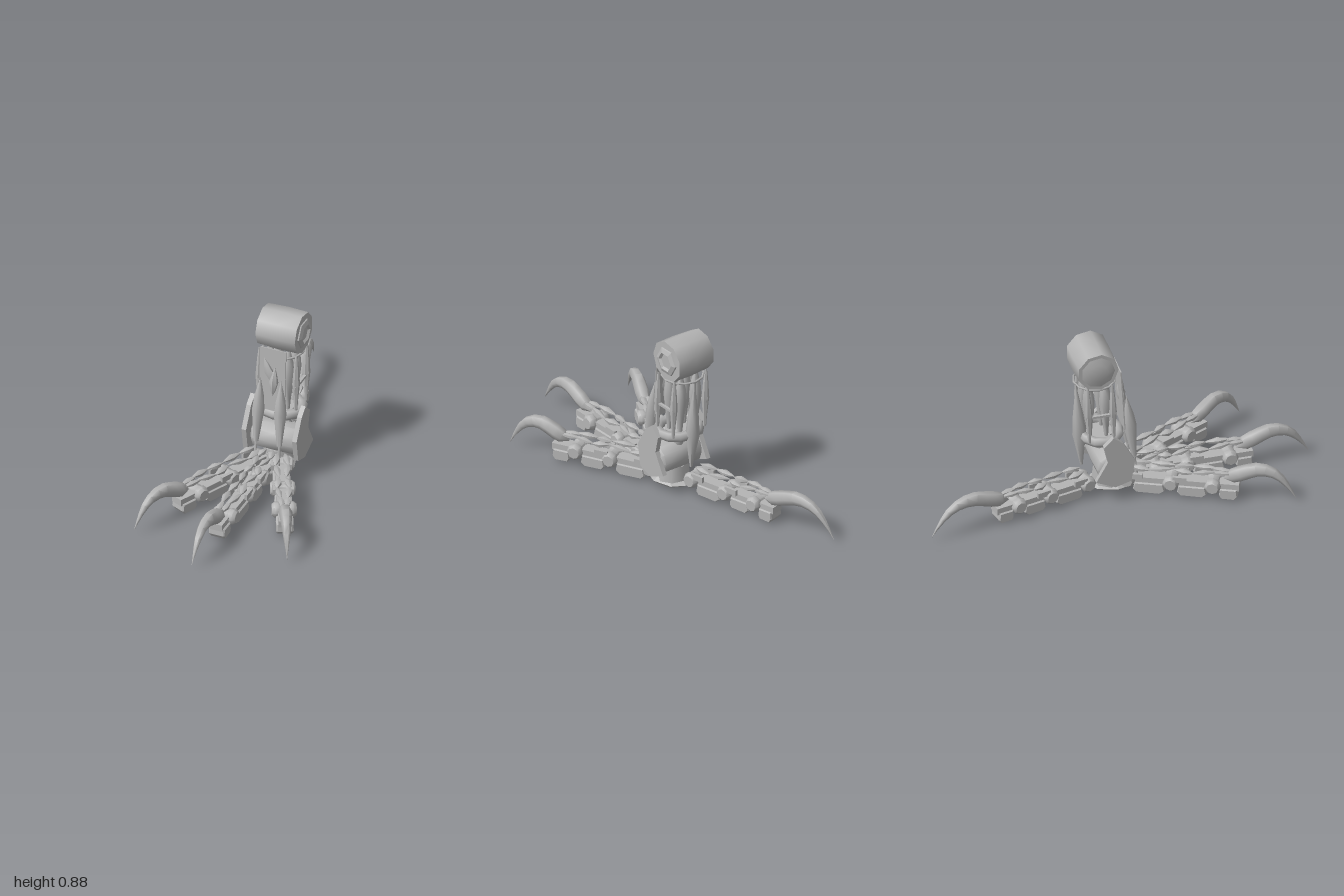
import * as THREE from 'three';
import { toCreasedNormals } from 'three/addons/utils/BufferGeometryUtils.js';

const metal = new THREE.MeshStandardMaterial({ color: 0xb4b4b4 });
metal.name = 'grey metal';
const sheet = new THREE.MeshStandardMaterial({ color: 0xb4b4b4, side: THREE.DoubleSide });
sheet.name = 'grey sheet';
const V = (x, y, z) => new THREE.Vector3(x, y, z);

function add(parent, name, geo, pos = [0, 0, 0], mat = metal) {
  const m = new THREE.Mesh(geo, mat);
  m.name = name;
  m.position.set(...pos);
  parent.add(m);
  return m;
}

// Turned part between two points; profile rows are [fraction of length, fraction of radius]
function turned(parent, name, a, b, r, profile, sides = 8, flat = 1, crease = 0.9) {
  const dir = b.clone().sub(a), len = dir.length();
  const geo = new THREE.LatheGeometry(profile.map(([t, k]) => new THREE.Vector2(k * r, t * len)), sides);
  geo.scale(1, 1, flat);
  geo.applyQuaternion(new THREE.Quaternion().setFromUnitVectors(V(0, 1, 0), dir.normalize()));
  return add(parent, name, toCreasedNormals(geo, crease), a.toArray());
}

const SPINDLE = [[0, 0], [0.2, 0.5], [0.5, 1], [0.8, 0.5], [1, 0]];
const PISTON = [[0, 0], [0, 0.22], [0.23, 0.22], [0.23, 0.4], [0.6, 1], [0.75, 0.8], [1, 0]];
const BARREL = [[0, 0], [0, 0.72], [0.12, 1], [0.3, 1], [0.36, 0.88], [0.64, 0.88], [0.7, 1], [0.88, 1], [1, 0.72], [1, 0]];

// Tapered sickle from z0 to z1 along the toe
function claw(parent, z0, z1) {
  const L = z1 - z0;
  const curve = new THREE.CatmullRomCurve3([[0, 0.115], [0.22, 0.15], [0.5, 0.185], [0.72, 0.165], [0.88, 0.105], [1, 0.033]]
    .map(([t, y]) => V(0, y, z0 + t * L)));
  const radii = [0.002, 0.036, 0.04, 0.038, 0.036, 0.032, 0.027, 0.021, 0.014, 0.007, 0.001];
  const n = radii.length - 1, sides = 6;
  const geo = new THREE.TubeGeometry(curve, n, 1, sides);
  const p = geo.attributes.position, v = V(0, 0, 0);
  for (let i = 0; i <= n; i++) {
    const c = curve.getPointAt(i / n);
    for (let j = 0; j <= sides; j++) {
      const k = i * (sides + 1) + j;
      v.fromBufferAttribute(p, k).sub(c).multiplyScalar(radii[i]);
      v.x *= 0.9;
      p.setXYZ(k, c.x + v.x, c.y + v.y, c.z + v.z);
    }
  }
  add(parent, 'claw', toCreasedNormals(geo, 1.1));
}

// Chamfered sole pad, extruded across the toe
function pad(parent, z0, z1) {
  const L = z1 - z0, s = new THREE.Shape();
  [[0, 0.035], [0.1, 0.02], [0.85, 0.018], [1, 0.035], [0.95, 0.068], [0.05, 0.068]]
    .forEach(([t, y], i) => (i ? s.lineTo(-z0 - t * L, y) : s.moveTo(-z0 - t * L, y)));
  const geo = new THREE.ExtrudeGeometry(s, { depth: 0.07, bevelEnabled: true, bevelSize: 0.004, bevelThickness: 0.008, bevelSegments: 1 });
  geo.translate(0, 0, -0.035);
  geo.rotateY(Math.PI / 2);
  add(parent, 'toePad', geo);
}

// Toe built along local +z, turned from root towards tip
function toe(parent, name, root, tip, joints, clawStart) {
  const g = new THREE.Group();
  g.name = name;
  const dx = tip[0] - root[0], dz = tip[1] - root[1], len = Math.hypot(dx, dz);
  g.position.set(root[0], 0, root[1]);
  g.rotation.y = Math.atan2(dx, dz);
  parent.add(g);
  const end = clawStart + 0.08;
  joints.forEach((d, i) => {
    const next = joints[i + 1] ?? end, L = next - d;
    turned(g, 'toeJoint', V(-0.062, 0.085, d), V(0.062, 0.085, d), 0.041, BARREL);
    add(g, 'toeLink', new THREE.BoxGeometry(0.066, 0.036, L), [0, 0.083, d + L / 2]);
    pad(g, d + 0.035, next - (next === end ? 0.01 : 0.035));
    for (const s of [-1, 1]) {
      if (i < joints.length - 1) {
        add(g, 'jointBracket', new THREE.BoxGeometry(0.016, 0.03, 0.07), [s * 0.045, 0.115, d + 0.045]);
        turned(g, 'toeTendon', V(s * 0.018, 0.155, d + 0.01), V(s * 0.034, 0.15, d + L * 0.55), 0.021, SPINDLE, 6, 0.8);
        turned(g, 'toeTendon', V(s * 0.034, 0.15, d + L * 0.45), V(s * 0.016, 0.16, next + 0.02), 0.019, SPINDLE, 6, 0.8);
      } else {
        turned(g, 'clawTendon', V(s * 0.02, 0.155, d - 0.03), V(s * 0.01, 0.15, clawStart + 0.06), 0.017, SPINDLE, 6, 0.8);
      }
    }
  });
  claw(g, clawStart, len);
}

export function createModel() {
  const model = new THREE.Group();
  model.name = 'mechanicalTalon';

  // Toes
  toe(model, 'middleToe', [-0.01, 0.05], [-0.01, 1.0], [0, 0.16, 0.32, 0.54], 0.58);
  toe(model, 'leftToe', [0.05, 0.06], [0.4, 0.76], [0, 0.22, 0.41], 0.46);
  toe(model, 'rightToe', [-0.06, 0.06], [-0.4, 0.83], [0, 0.22, 0.43], 0.48);
  toe(model, 'backToe', [-0.045, -0.16], [-0.25, -1.0], [0, 0.21, 0.39], 0.43);

  // Sole and ankle
  const sole = add(model, 'sole', toCreasedNormals(new THREE.SphereGeometry(1, 8, 4), 0.7), [-0.005, 0.04, 0]);
  sole.scale.set(0.1, 0.035, 0.14);
  add(model, 'footHub', new THREE.CylinderGeometry(0.075, 0.085, 0.09, 8), [-0.005, 0.09, -0.03]);
  turned(model, 'ankleBarrel', V(-0.132, 0.185, -0.035), V(0.122, 0.185, -0.035), 0.08,
    [[0, 0], [0, 0.75], [0.06, 1], [0.5, 1.03], [0.94, 1], [1, 0.75], [1, 0]], 10);
  add(model, 'ankleNeck', toCreasedNormals(new THREE.CylinderGeometry(0.036, 0.026, 0.09, 8), 0.9), [-0.01, 0.29, -0.06]);

  // Curved side arms
  const arm = new THREE.Shape();
  [[0.05, 0.12], [0.07, 0.24], [0.01, 0.35], [-0.04, 0.39], [-0.09, 0.34], [-0.07, 0.25], [-0.13, 0.14], [-0.03, 0.095]]
    .forEach(([z, y], i) => (i ? arm.lineTo(-z, y) : arm.moveTo(-z, y)));
  for (const [name, x] of [['leftArm', 0.115], ['rightArm', -0.16]]) {
    const geo = new THREE.ExtrudeGeometry(arm, { depth: 0.025, bevelEnabled: false });
    geo.rotateY(Math.PI / 2);
    add(model, name, geo, [x, 0, 0]);
  }

  // Lower and upper leg collars
  const lower = add(model, 'lowerCollar', new THREE.TorusGeometry(0.105, 0.025, 6, 12).rotateX(Math.PI / 2), [-0.005, 0.343, -0.07]);
  lower.scale.set(1.03, 1.05, 0.92);
  add(model, 'collarDisc', new THREE.CylinderGeometry(0.07, 0.06, 0.02, 10), [-0.005, 0.335, -0.07]);
  add(model, 'upperCollar', new THREE.TorusGeometry(0.105, 0.006, 5, 12).rotateX(Math.PI / 2), [-0.008, 0.662, -0.1]);

  // Inner muscles and outer struts
  for (const x of [-0.055, 0.038]) {
    for (const z of [-0.05, -0.135]) {
      turned(model, 'innerMuscle', V(x, 0.34, z), V(x, 0.68, z - 0.01), 0.032,
        [[0, 0.3], [0.2, 0.5], [0.6, 1], [0.8, 0.8], [1, 0.3]]);
    }
  }
  for (const x of [-0.108, 0.092]) {
    for (const z of [-0.025, -0.15]) {
      turned(model, 'sideStrut', V(x, 0.35, z), V(x, 0.68, z - 0.01), 0.018,
        [[0, 0.4], [0.2, 0.6], [0.45, 1], [0.5, 1.1], [0.8, 0.7], [1, 0.3]], 6);
    }
    add(model, 'strutBrace', new THREE.BoxGeometry(0.014, 0.012, 0.16), [x, 0.5, -0.09]);
  }
  turned(model, 'backPiston', V(-0.01, 0.16, -0.165), V(-0.01, 0.66, -0.195), 0.036,
    [[0, 0], [0, 0.2], [0.05, 0.3], [0.38, 1], [0.6, 0.75], [0.88, 0.2], [1, 0.15]]);

  // Front shin plate with pistons
  const shin = add(model, 'shinPlate', new THREE.BoxGeometry(0.14, 0.35, 0.006), [-0.009, 0.55, 0.03], sheet);
  shin.rotation.x = -0.06;
  turned(model, 'frontPiston', V(-0.075, 0.1, 0.1), V(-0.065, 0.57, 0.05), 0.033, PISTON);
  turned(model, 'frontPiston', V(0.056, 0.1, 0.1), V(0.047, 0.57, 0.05), 0.033, PISTON);
  turned(model, 'shinSpike', V(0, 0.465, 0.05), V(0.005, 0.625, 0.03), 0.025, SPINDLE, 6);
  turned(model, 'shinSpike', V(0.005, 0.52, 0.04), V(-0.055, 0.67, 0.03), 0.025, SPINDLE, 6, 0.6);

  // Knee drum with end caps
  turned(model, 'kneeDrum', V(-0.118, 0.772, -0.108), V(0.098, 0.772, -0.108), 0.108,
    [[0, 0], [0, 0.97], [0.5, 1.02], [1, 1], [1, 0]], 9);
  turned(model, 'leftKneeCap', V(0.095, 0.772, -0.108), V(0.113, 0.772, -0.108), 0.078,
    [[0, 1], [0.5, 0.95], [1, 0.65], [0.4, 0.5], [0.4, 0]], 6, 1, 0.4);
  turned(model, 'rightKneeCap', V(-0.13, 0.772, -0.108), V(-0.115, 0.772, -0.108), 0.1,
    [[0, 0], [0, 0.5], [1, 0.95]], 9, 1, 0.4);
  return model;
}
